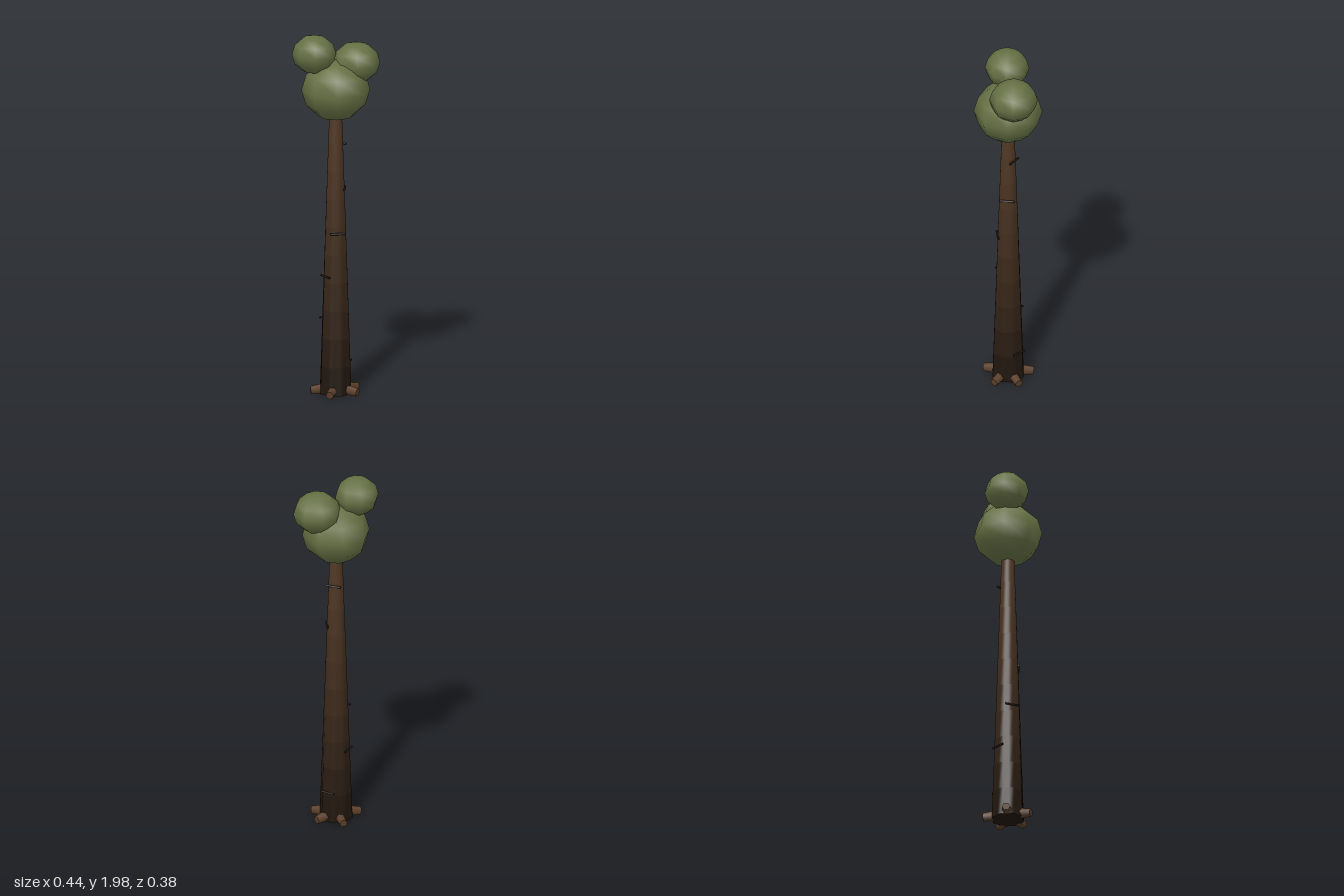
import * as THREE from 'three';

const CX = -0.012, CZ = 0.004;
const BASE_Y = 0.02, TOP_Y = 1.56;
const trunkRadius = (y) => THREE.MathUtils.lerp(0.089, 0.034, (y - BASE_Y) / (TOP_Y - BASE_Y));
const rad = THREE.MathUtils.degToRad;

export function createModel() {
  const group = new THREE.Group();

  const add = (name, geometry, color, parent = group) => {
    const mesh = new THREE.Mesh(geometry, new THREE.MeshStandardMaterial({ color, roughness: 0.9 }));
    mesh.name = name;
    parent.add(mesh);
    return mesh;
  };

  // Fluted, tapering trunk in stacked bands that lighten towards the crown
  const trunk = new THREE.Group();
  trunk.name = 'trunk';
  trunk.position.set(CX, 0, CZ);
  group.add(trunk);
  const BANDS = 10, dark = new THREE.Color(0x21160e), light = new THREE.Color(0x503825);
  for (let i = 0; i < BANDS; i++) {
    const y0 = THREE.MathUtils.lerp(BASE_Y, TOP_Y, i / BANDS);
    const y1 = THREE.MathUtils.lerp(BASE_Y, TOP_Y, (i + 1) / BANDS);
    const geo = new THREE.CylinderGeometry(trunkRadius(y1), trunkRadius(y0), y1 - y0, 32, 1, true);
    geo.translate(0, (y0 + y1) / 2, 0);
    flute(geo);
    add('trunkBand', geo, dark.clone().lerp(light, i / (BANDS - 1)), trunk);
  }
  const bottom = new THREE.CircleGeometry(trunkRadius(BASE_Y), 32);
  bottom.rotateX(Math.PI / 2);
  bottom.translate(0, BASE_Y, 0);
  flute(bottom);
  add('trunkBottom', bottom, dark, trunk);

  // Stubby roots pushing out around the foot
  for (const deg of [18, 78, 152, 222, 310]) {
    const pivot = new THREE.Group();
    pivot.name = 'root';
    pivot.position.set(CX, 0.042, CZ);
    pivot.rotation.y = -rad(deg);
    group.add(pivot);
    const root = add('rootStub', new THREE.CylinderGeometry(0.022, 0.03, 0.09, 6), 0x5c402b, pivot);
    root.position.x = 0.09;
    root.rotation.z = -Math.PI / 2 - 0.12;
  }

  // Short bark pegs lying across the trunk, winding upwards
  [0, 265, 195, 127, 52, -12].forEach((deg, i) => {
    const y = 0.19 + i * 0.24, a = rad(deg), r = trunkRadius(y);
    const peg = add('barkPeg', new THREE.CylinderGeometry(0.006, 0.006, 0.08, 6), 0x1e1712);
    peg.position.set(CX + r * Math.cos(a), y, CZ + r * Math.sin(a));
    peg.rotation.set(Math.PI / 2, 0, a);
  });

  // Three slightly flattened leaf clumps
  const clumps = [
    [CX, 1.695, 0.005, 0.184, 0.167],
    [-0.1, 1.895, -0.072, 0.119, 0.105],
    [0.088, 1.835, 0.06, 0.13, 0.112],
  ];
  for (const [x, y, z, r, ry] of clumps) {
    const leaf = add('leafClump', new THREE.SphereGeometry(1, 8, 6), 0x667044);
    leaf.scale.set(r, ry, r);
    leaf.position.set(x, y, z);
  }
  return group;
}

// Presses eight shallow grooves into a round form, fading with height
function flute(geometry) {
  const p = geometry.attributes.position;
  for (let i = 0; i < p.count; i++) {
    const x = p.getX(i), y = p.getY(i), z = p.getZ(i);
    const s = 1 - 0.05 * (1 - y / TOP_Y) * (1 + Math.cos(8 * Math.atan2(z, x)));
    p.setXYZ(i, x * s, y, z * s);
  }
  geometry.computeVertexNormals();
}
